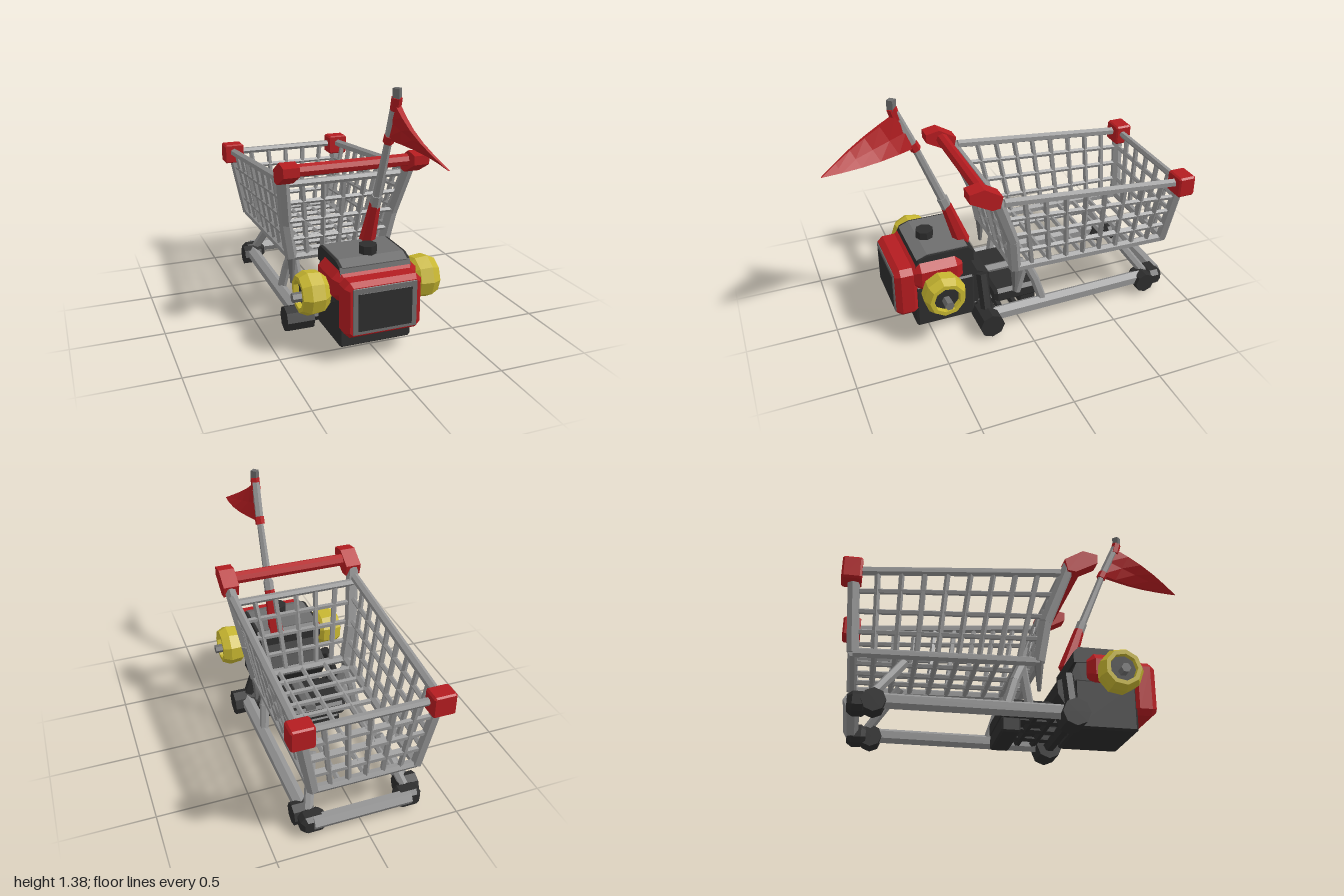
import * as THREE from 'three';

const mat = (name, color) => new THREE.MeshStandardMaterial({ name, color });

export function createModel() {
  const root = new THREE.Group();
  root.name = 'motorCart';
  const steel = mat('steel grey', 0x949494);
  const iron = mat('iron grey', 0x6e6e6e);
  const black = mat('black', 0x2d2d2d);
  const red = mat('red', 0xb41c20);
  const yellow = mat('yellow', 0xc6b530);
  yellow.side = THREE.DoubleSide;
  const V = (x, y, z) => new THREE.Vector3(x, y, z);

  // faceted mesh
  function add(name, geo, material, parent) {
    const g = geo.index ? geo.toNonIndexed() : geo;
    g.computeVertexNormals();
    const m = new THREE.Mesh(g, material);
    m.name = name;
    parent.add(m);
    return m;
  }
  function group(name) {
    const g = new THREE.Group();
    g.name = name;
    root.add(g);
    return g;
  }
  // straight bar between two points
  function bar(name, a, b, r, material, parent, sides = 6, r2 = r) {
    const d = b.clone().sub(a);
    const m = add(name, new THREE.CylinderGeometry(r2, r, d.length(), sides), material, parent);
    m.position.copy(a).addScaledVector(d, 0.5);
    m.quaternion.setFromUnitVectors(V(0, 1, 0), d.normalize());
  }
  // box with chamfered edges
  function block(name, w, h, d, c, x, y, z, material, parent) {
    const a = w / 2 - c, b = h / 2 - c;
    const s = new THREE.Shape([[-a, -b - c], [a, -b - c], [a + c, -b], [a + c, b], [a, b + c], [-a, b + c], [-a - c, b], [-a - c, -b]]
      .map(([px, py]) => new THREE.Vector2(px, py)));
    const g = new THREE.ExtrudeGeometry(s, { depth: d - 2 * c, bevelEnabled: true, bevelThickness: c, bevelSize: c * 0.7, bevelOffset: -c * 0.7, bevelSegments: 1 });
    g.translate(0, 0, -d / 2 + c);
    add(name, g, material, parent).position.set(x, y, z);
  }
  // side profile in (z, y), extruded along x about a centre
  function profile(name, pts, w, x, material, parent) {
    const s = new THREE.Shape(pts.map(([z, y]) => new THREE.Vector2(z, y)));
    const g = new THREE.ExtrudeGeometry(s, { depth: w, bevelEnabled: false });
    g.rotateY(-Math.PI / 2).translate(x + w / 2, 0, 0);
    add(name, g, material, parent);
  }

  // wire basket
  const basket = group('basket');
  const top = (s, f) => (f ? V(s * 0.365, 0.855, 0.13) : V(s * 0.36, 0.755, -0.94));
  const low = (s, f) => (f ? V(s * 0.28, 0.37, 0.03) : V(s * 0.28, 0.345, -0.91));
  function mesh(name, a, b, c, d, cols, rows) {
    const mix = (p, q, t) => p.clone().lerp(q, t);
    for (let i = 1; i < cols; i++) bar(name, mix(a, b, i / cols), mix(c, d, i / cols), 0.016, steel, basket, 5);
    for (let j = 1; j < rows; j++) bar(name, mix(a, c, j / rows), mix(b, d, j / rows), 0.015, steel, basket, 5);
  }
  for (const s of [-1, 1]) {
    mesh('sideWire', top(s, 1), top(s, 0), low(s, 1), low(s, 0), 9, 4);
    bar('sideRim', top(s, 1), top(s, 0), 0.025, steel, basket);
    bar('floorSideRim', low(s, 1), low(s, 0), 0.026, steel, basket);
    bar('rearPost', top(s, 0), low(s, 0), 0.032, steel, basket);
    const bend = V(s * 0.318, 0.58, 0.06);
    bar('frontPost', V(s * 0.37, 0.9, 0.18), bend, 0.035, steel, basket);
    bar('frontPostLower', bend, low(s, 1), 0.035, steel, basket);
    block('cornerCap', 0.125, 0.12, 0.1, 0.01, s * 0.358, 0.748, -0.948, red, basket);
  }
  for (const f of [1, 0]) {
    const drop = f ? 0.03 : 0;
    const a = top(-1, f), b = top(1, f);
    a.y -= drop;
    b.y -= drop;
    mesh('endWire', a, b, low(-1, f), low(1, f), 6, 4);
    bar('endRim', a, b, 0.021, steel, basket);
    bar('floorEndRim', low(-1, f), low(1, f), 0.024, steel, basket);
  }
  mesh('floorWire', low(-1, 1), low(-1, 0), low(1, 1), low(1, 0), 9, 4);

  // push handle
  const handle = group('handle');
  bar('grip', V(-0.33, 0.925, 0.235), V(0.33, 0.925, 0.235), 0.035, red, handle, 8);
  for (const s of [-1, 1])
    profile('handleEnd', [[0.33, 0.915], [0.33, 0.965], [0.25, 0.98], [0.15, 0.92], [0.165, 0.855], [0.21, 0.85]], 0.088, s * 0.365, red, handle);

  // undercarriage
  const chassis = group('chassis');
  for (const s of [-1, 1]) {
    bar('sideRail', V(s * 0.3, 0.1, 0.2), V(s * 0.29, 0.1, -0.8), 0.04, steel, chassis, 6);
    bar('frontWheel', V(s * 0.225, 0.08, 0.2), V(s * 0.38, 0.08, 0.2), 0.072, black, chassis, 8);
    bar('rearWheel', V(s * 0.24, 0.085, -0.79), V(s * 0.35, 0.085, -0.79), 0.06, black, chassis, 8);
    block('rearCaster', 0.14, 0.1, 0.1, 0.025, s * 0.265, 0.085, -0.865, black, chassis);
    bar('rearStrut', V(s * 0.27, 0.11, -0.82), V(s * 0.19, 0.345, -0.65), 0.026, steel, chassis);
    const knee = V(s * 0.27, 0.26, -0.095);
    bar('archFoot', V(s * 0.29, 0.11, -0.14), knee, 0.026, steel, chassis);
    bar('archTop', knee, V(s * 0.25, 0.36, -0.05), 0.026, steel, chassis);
    bar('innerStrut', V(s * 0.22, 0.16, -0.01), V(s * 0.24, 0.36, -0.05), 0.024, steel, chassis);
    bar('postFoot', V(s * 0.28, 0.38, 0.03), V(s * 0.28, 0.21, 0.03), 0.028, iron, chassis, 5, 0.01);
    bar('forkArm', V(s * 0.29, 0.1, 0.2), V(s * 0.21, 0.33, 0.2), 0.034, black, chassis);
  }
  bar('rearBar', V(-0.27, 0.1, -0.895), V(0.27, 0.1, -0.895), 0.04, steel, chassis, 6);
  bar('frontAxle', V(-0.28, 0.08, 0.2), V(0.28, 0.08, 0.2), 0.035, black, chassis);
  block('gearCase', 0.44, 0.09, 0.27, 0.02, 0, 0.14, -0.01, black, chassis);
  block('gearSump', 0.36, 0.08, 0.1, 0.01, 0, 0.06, -0.095, black, chassis);
  for (const x of [-0.15, 0, 0.15]) bar('underRail', V(x, 0.09, 0.3), V(x, 0.1, -0.05), 0.025, black, chassis);
  for (const z of [0.02, 0.11]) bar('underCrossbar', V(-0.25, 0.095, z), V(0.25, 0.095, z), 0.022, black, chassis);
  bar('shaft', V(0, 0.18, -0.14), V(0, 0.18, 0.12), 0.035, iron, chassis);

  // engine
  const engine = group('engine');
  block('crankcase', 0.4, 0.27, 0.34, 0.012, 0, 0.19, 0.41, black, engine);
  profile('rearHousing', [[0.33, 0.12], [0.33, 0.44], [0.26, 0.43], [0.22, 0.34], [0.15, 0.31], [0.15, 0.24], [0.22, 0.13]], 0.38, 0, black, engine);
  block('engineBody', 0.47, 0.17, 0.28, 0.04, 0, 0.39, 0.45, red, engine);
  profile('hood', [[0.24, 0.42], [0.575, 0.45], [0.555, 0.49], [0.5, 0.51], [0.27, 0.51], [0.24, 0.48]], 0.39, 0, black, engine);
  profile('hoodPlate', [[0.56, 0.484], [0.562, 0.49], [0.502, 0.515], [0.27, 0.515], [0.27, 0.505], [0.5, 0.505]], 0.36, 0, iron, engine);
  bar('fillerCap', V(0, 0.5, 0.46), V(0, 0.56, 0.46), 0.05, black, engine, 8);
  block('frontCowl', 0.42, 0.3, 0.13, 0.03, 0, 0.3, 0.625, red, engine);
  block('grilleFrame', 0.35, 0.25, 0.009, 0.003, 0, 0.3, 0.69, iron, engine);
  block('grille', 0.295, 0.205, 0.009, 0.003, 0, 0.295, 0.694, black, engine);

  // yellow side drums with axle stubs
  const ring = [[0.075, 0], [0.113, 0.04], [0.12, 0.11], [0.098, 0.155], [0.075, 0.155], [0.07, 0.1]].map(([r, y]) => new THREE.Vector2(r, y));
  for (const s of [-1, 1]) {
    const drum = add('sideDrum', new THREE.LatheGeometry(ring, 9), yellow, engine);
    drum.rotation.z = -s * Math.PI / 2;
    drum.position.set(s * 0.228, 0.335, 0.455);
    bar('drumCore', V(s * 0.2, 0.335, 0.455), V(s * 0.355, 0.335, 0.455), 0.074, black, engine, 9);
    bar('axleStub', V(s * 0.33, 0.32, 0.455), V(s * 0.415, 0.32, 0.455), 0.026, iron, engine, 6);
  }

  // flag pole and pennant
  const flag = group('flag');
  bar('poleBase', V(0.075, 0.48, 0.265), V(0.085, 0.74, 0.355), 0.046, red, flag, 6, 0.03);
  bar('poleSocket', V(0.085, 0.71, 0.345), V(0.085, 0.79, 0.375), 0.03, steel, flag);
  bar('pole', V(0.085, 0.75, 0.36), V(0.085, 1.12, 0.51), 0.024, steel, flag, 6, 0.019);
  bar('poleRing', V(0.085, 1.1, 0.5), V(0.085, 1.14, 0.52), 0.028, red, flag);
  bar('upperPole', V(0.085, 1.12, 0.51), V(0.077, 1.32, 0.6), 0.024, steel, flag);
  bar('flagCollar', V(0.077, 1.28, 0.592), V(0.077, 1.345, 0.61), 0.027, red, flag);
  bar('poleTip', V(0.077, 1.335, 0.61), V(0.077, 1.39, 0.61), 0.025, iron, flag, 4);
  // pennant: a slab tapering to its tip, with a gentle wave
  const cloth = new THREE.BoxGeometry(1, 1, 1, 5, 2, 1);
  const p = cloth.attributes.position;
  for (let i = 0; i < p.count; i++) {
    const u = p.getX(i) + 0.5, v = p.getY(i) + 0.5;
    const z0 = 0.5 + 0.1 * v, y0 = 1.12 + 0.19 * v;
    const x = 0.085 + 0.07 * u + (0.5 - v) * 0.06 * Math.sin(u * Math.PI) - p.getZ(i) * 0.03 * (1 - 0.7 * u);
    p.setXYZ(i, x, y0 + (1.075 - y0) * u, z0 + (1 - z0) * u);
  }
  add('pennant', cloth, red, flag);

  return root;
}
